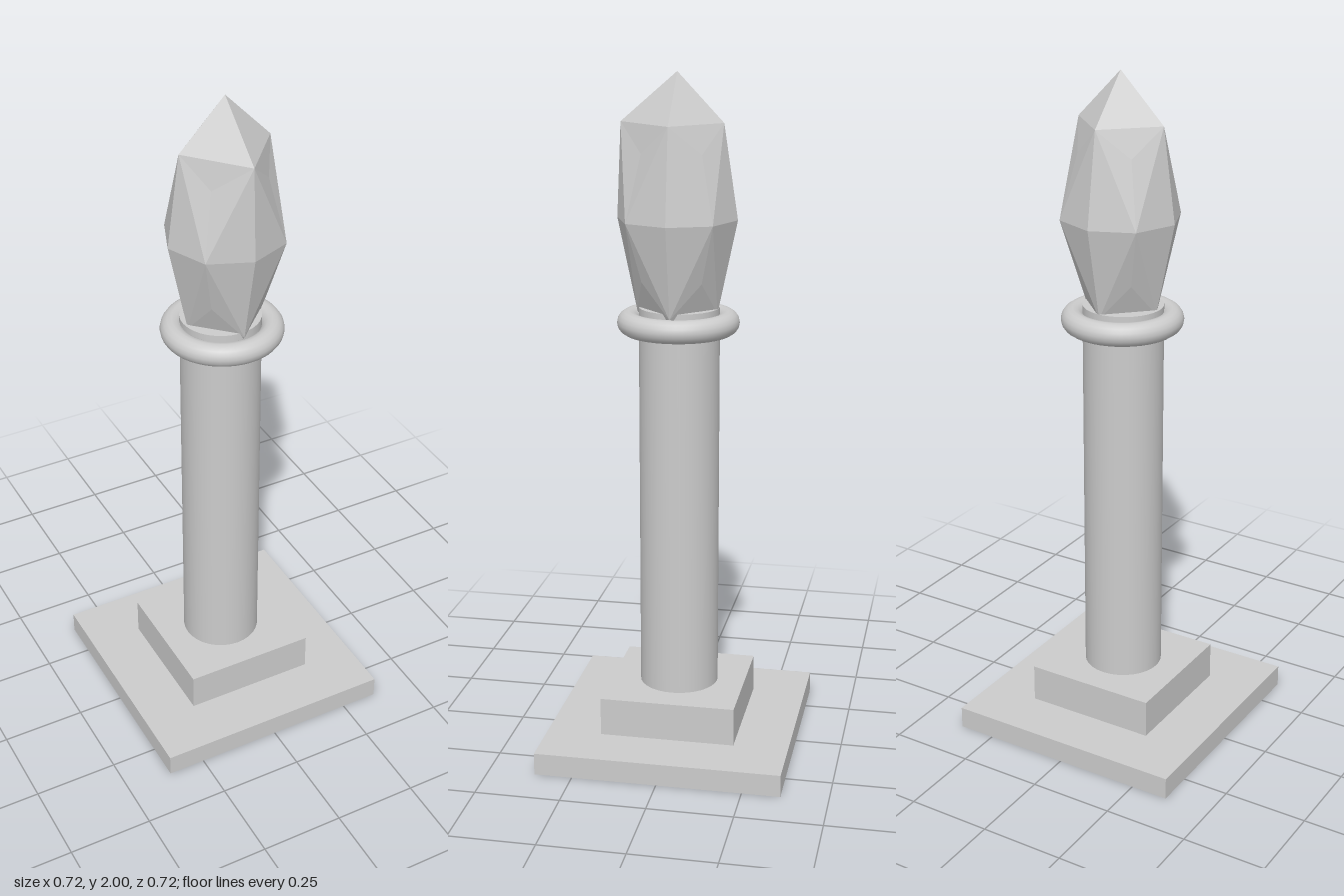
import * as THREE from 'three';

const material = new THREE.MeshStandardMaterial({ color: 0xcccccc });
const facetMaterial = new THREE.MeshStandardMaterial({ color: 0xcccccc, flatShading: true });

function addPart(group, name, geometry, y, mat = material) {
  const mesh = new THREE.Mesh(geometry, mat);
  mesh.name = name;
  mesh.position.y = y;
  group.add(mesh);
  return mesh;
}

// Faceted flame: an equator of eight corners, with a four-sided cap above and below
function flameGeometry() {
  const centre = new THREE.Vector3(0.011, 1.59, 0.004);
  const positions = [];
  const point = (angle, radius, y) => new THREE.Vector3(
    centre.x + Math.cos(angle) * radius, y, centre.z + Math.sin(angle) * radius);

  // Turn every triangle to face away from the centre
  function face(a, b, c) {
    const normal = b.clone().sub(a).cross(c.clone().sub(a));
    const outward = a.clone().add(b).add(c).divideScalar(3).sub(centre);
    const corners = normal.dot(outward) < 0 ? [a, c, b] : [a, b, c];
    for (const p of corners) positions.push(p.x, p.y, p.z);
  }

  const caps = [
    { tip: 2.0, shoulderY: 1.86, shoulders: [0.137, 0.162, 0.137, 0.133], kneeY: 1.78, kneeR: 0.122 },
    { tip: 1.2, shoulderY: 1.32, shoulders: [0.117, 0.117, 0.117, 0.117], kneeY: 1.42, kneeR: 0.122 },
  ];
  for (const cap of caps) {
    const tip = point(0, 0, cap.tip);
    for (let i = 0; i < 4; i++) {
      const a = i * Math.PI / 2, d = a + Math.PI / 4, b = a + Math.PI / 2;
      const shoulderA = point(a, cap.shoulders[i], cap.shoulderY);
      const shoulderB = point(b, cap.shoulders[(i + 1) % 4], cap.shoulderY);
      const knee = point(d, cap.kneeR, cap.kneeY);
      const middle = point(d, 0.175, centre.y);
      face(tip, shoulderA, shoulderB);
      face(shoulderA, shoulderB, knee);
      face(knee, shoulderA, middle);
      face(knee, shoulderB, middle);
      face(shoulderA, point(a, 0.174, centre.y), middle);
      face(shoulderB, point(b, 0.174, centre.y), middle);
    }
  }
  const geometry = new THREE.BufferGeometry();
  geometry.setAttribute('position', new THREE.Float32BufferAttribute(positions, 3));
  geometry.computeVertexNormals();
  return geometry;
}

export function createModel() {
  const group = new THREE.Group();
  group.name = 'torchPillar';

  // Stepped square base
  addPart(group, 'basePlate', new THREE.BoxGeometry(0.724, 0.066, 0.724), 0.033);
  addPart(group, 'plinth', new THREE.BoxGeometry(0.4, 0.114, 0.4), 0.123);

  // Round column with a collar
  addPart(group, 'column', new THREE.CylinderGeometry(0.117, 0.117, 1.155, 32), 0.7575);
  const collar = addPart(group, 'collar', new THREE.TorusGeometry(0.143, 0.034, 16, 48), 1.291);
  collar.rotation.x = Math.PI / 2;
  collar.position.x = 0.004;
  collar.position.z = 0.002;

  addPart(group, 'flame', flameGeometry(), 0, facetMaterial);
  return group;
}
